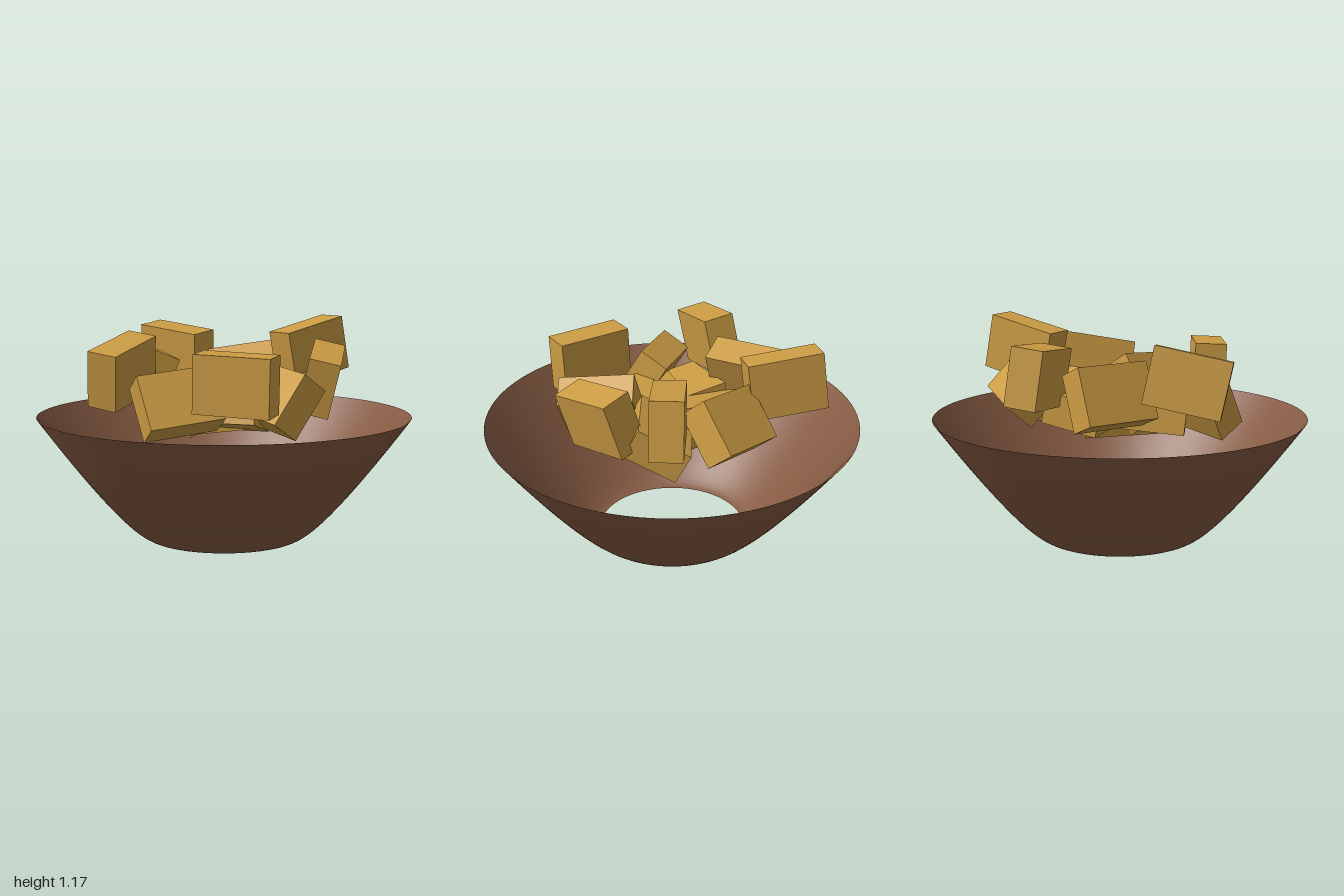
import * as THREE from 'three';

const bowlMaterial = new THREE.MeshStandardMaterial({ color: 0x865b43, side: THREE.DoubleSide });
const blockMaterial = new THREE.MeshStandardMaterial({ color: 0xcc9c44 });

// Each block: centre, direction of its long edge, direction of its middle edge
const BLOCKS = [
  // outer ring
  { at: [0.115, 0.89, 0.525], long: [0.97, -0.03, 0.23], mid: [0.05, 1, 0.05] },
  { at: [-0.2, 0.77, 0.37], long: [0.88, 0.1, -0.47], mid: [-0.235, 0.86, -0.44] },
  { at: [-0.51, 0.92, 0.225], long: [-0.37, -0.2, 0.91], mid: [0.08, 0.98, 0.18] },
  { at: [-0.43, 0.85, -0.155], long: [0.32, 0, 0.94], mid: [0.36, 0.92, -0.12] },
  { at: [-0.325, 0.95, -0.5], long: [0.85, -0.1, 0.53], mid: [-0.06, 1, 0.1] },
  { at: [0.07, 0.84, -0.49], long: [0.98, 0.14, -0.13], mid: [0, 0.75, 0.66] },
  { at: [0.44, 0.98, -0.43], long: [0.71, 0.2, -0.68], mid: [-0.15, 0.97, 0.14] },
  { at: [0.52, 0.865, -0.02], long: [-0.04, -0.18, 0.98], mid: [0.22, 0.95, 0.18] },
  { at: [0.3, 0.78, 0.23], long: [0.63, -0.1, 0.76], mid: [0.43, 0.83, -0.36] },
  // inner blocks
  { at: [0.28, 0.73, -0.19], long: [0.71, 0, -0.7], mid: [0.62, 0.48, 0.62] },
  { at: [-0.12, 0.74, -0.22], long: [0.84, 0, 0.54], mid: [0.5, 0.2, -0.8] },
  { at: [-0.21, 0.71, 0.1], long: [-0.32, -0.1, 0.94], mid: [0.91, -0.15, 0.4] },
  { at: [0.03, 0.71, 0.18], long: [0.98, 0, 0.2], mid: [-0.19, 0.25, 0.93] },
  { at: [0, 0.68, -0.03], long: [0.05, 0, 1], mid: [1, 0.1, -0.05] },
];

// Thin open bowl with a hole where the foot would be
function makeBowl() {
  const wall = new THREE.QuadraticBezierCurve(
    new THREE.Vector2(0.4, 0),
    new THREE.Vector2(0.53, 0.02),
    new THREE.Vector2(1, 0.667)
  );
  const bowl = new THREE.Mesh(new THREE.LatheGeometry(wall.getPoints(20), 96), bowlMaterial);
  bowl.name = 'bowl';
  return bowl;
}

// One tilted block, oriented by its long and middle edges
function makeBlock({ at, long, mid }, geometry) {
  const x = new THREE.Vector3(...long).normalize();
  const z = x.clone().cross(new THREE.Vector3(...mid)).normalize();
  const y = z.clone().cross(x);
  const block = new THREE.Mesh(geometry, blockMaterial);
  block.quaternion.setFromRotationMatrix(new THREE.Matrix4().makeBasis(x, y, z));
  block.position.set(...at);
  return block;
}

export function createModel() {
  const model = new THREE.Group();
  model.name = 'bowlOfBlocks';
  model.add(makeBowl());

  // Heap of equal blocks
  const heap = new THREE.Group();
  heap.name = 'blocks';
  const geometry = new THREE.BoxGeometry(0.4, 0.3, 0.167);
  BLOCKS.forEach((spec, i) => {
    const block = makeBlock(spec, geometry);
    block.name = `block${i + 1}`;
    heap.add(block);
  });
  model.add(heap);
  return model;
}
